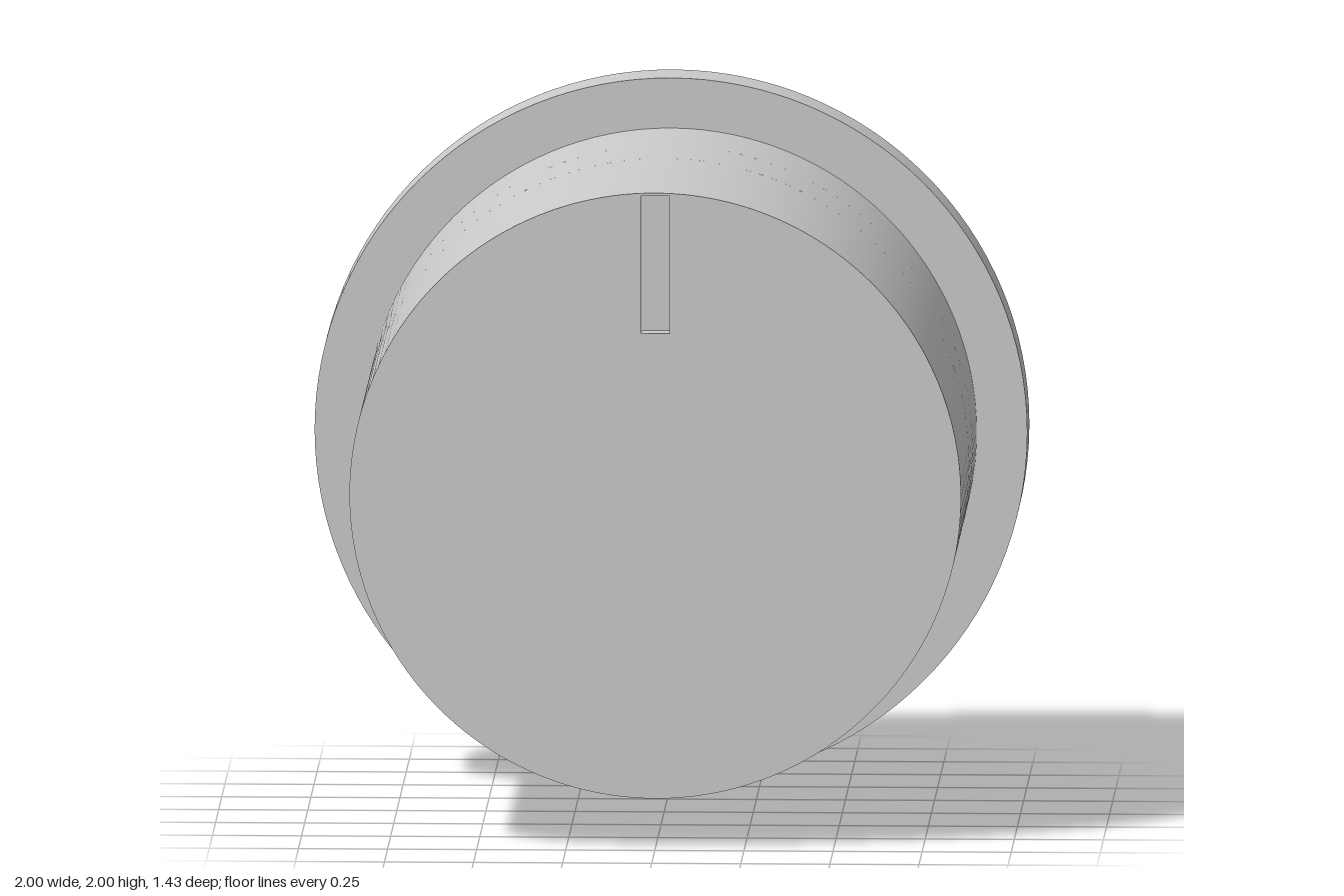
import * as THREE from 'three';
import { ParametricGeometry } from 'three/addons/geometries/ParametricGeometry.js';
import { mergeGeometries } from 'three/addons/utils/BufferGeometryUtils.js';

const SEG = 128;
const FLANGE_R = 1, BODY_R = 0.858, BORE_R = 0.317;
const BACK = -0.715, STEP = -0.55, FRONT = 0.715, BORE_END = 0.4;
const HOLE_R = 0.083, HOLE_Z = -0.09, PATCH = 0.13;
const SLOT = { w: 0.08, y0: 0.46, y1: 0.85, depth: 0.06 };

const lerp = THREE.MathUtils.lerp;

// Part of a cylinder about z; the angle t starts at the bottom
function wall(r, z0, z1, inward = false, t0 = 0, t1 = 2 * Math.PI) {
  return new ParametricGeometry((u, v, p) => {
    const t = inward ? lerp(t1, t0, u) : lerp(t0, t1, u);
    p.set(r * Math.sin(t), -r * Math.cos(t), lerp(z0, z1, v));
  }, SEG, 1);
}

// Curved patch at the bottom of a cylinder, from the round hole out to a square
function holePatch(r, inward) {
  return new ParametricGeometry((u, v, p) => {
    const a = (inward ? 2 : -2) * Math.PI * u;
    const c = Math.cos(a), s = Math.sin(a);
    const k = PATCH / Math.max(Math.abs(c), Math.abs(s));
    const t = lerp(Math.asin(HOLE_R * c / r), k * c / r, v);
    p.set(r * Math.sin(t), -r * Math.cos(t), HOLE_Z + lerp(HOLE_R, k, v) * s);
  }, 64, 6);
}

// Cylinder wall with the screw hole cut out of its underside
function piercedWall(r, z0, z1, inward) {
  const a = PATCH / r;
  return mergeGeometries([
    wall(r, z0, HOLE_Z - PATCH, inward),
    wall(r, HOLE_Z + PATCH, z1, inward),
    wall(r, HOLE_Z - PATCH, HOLE_Z + PATCH, inward, a, 2 * Math.PI - a),
    holePatch(r, inward),
  ]);
}

export function createModel() {
  const model = new THREE.Group();
  const knob = new THREE.Group();
  knob.name = 'knob';
  knob.position.y = 1;
  model.add(knob);

  const material = new THREE.MeshStandardMaterial({ color: 0xcccccc });
  const add = (name, geometry, parent = knob) => {
    const mesh = new THREE.Mesh(geometry, material);
    mesh.name = name;
    parent.add(mesh);
    return mesh;
  };

  // Flange
  add('flangeRim', wall(FLANGE_R, BACK, STEP));
  add('flangeFront', new THREE.RingGeometry(BODY_R, FLANGE_R, SEG)).position.z = STEP;
  const back = add('flangeBack', new THREE.RingGeometry(BORE_R, FLANGE_R, SEG));
  back.position.z = BACK;
  back.rotation.y = Math.PI;

  // Body and blind shaft bore
  add('bodyWall', piercedWall(BODY_R, STEP, FRONT, false));
  add('boreWall', piercedWall(BORE_R, BACK, BORE_END, true));
  const boreEnd = add('boreEnd', new THREE.CircleGeometry(BORE_R, SEG));
  boreEnd.position.z = BORE_END;
  boreEnd.rotation.y = Math.PI;

  // Radial screw hole from the underside into the bore
  add('screwHole', new ParametricGeometry((u, v, p) => {
    const a = -2 * Math.PI * u, x = HOLE_R * Math.cos(a);
    const y = lerp(Math.sqrt(BORE_R ** 2 - x * x), Math.sqrt(BODY_R ** 2 - x * x), v);
    p.set(x, -y, HOLE_Z + HOLE_R * Math.sin(a));
  }, 64, 1));

  // Front face with the pointer slot cut out
  const { w, y0, y1, depth } = SLOT;
  const face = new THREE.Shape().absarc(0, 0, BODY_R, 0, 2 * Math.PI);
  face.holes.push(new THREE.Path([[-1, y0], [-1, y1], [1, y1], [1, y0]]
    .map(([s, y]) => new THREE.Vector2(s * w / 2, y))));
  add('frontFace', new THREE.ShapeGeometry(face, SEG)).position.z = FRONT;

  // Slot floor and walls, all facing inwards
  const slot = new THREE.Group();
  slot.name = 'pointerSlot';
  slot.position.set(0, (y0 + y1) / 2, FRONT - depth);
  knob.add(slot);
  const h = y1 - y0;
  add('slotFloor', new THREE.PlaneGeometry(w, h), slot);
  for (const s of [-1, 1]) {
    const side = add('slotSide', new THREE.PlaneGeometry(depth, h), slot);
    side.position.set(s * w / 2, 0, depth / 2);
    side.rotation.y = -s * Math.PI / 2;
    const end = add('slotEnd', new THREE.PlaneGeometry(w, depth), slot);
    end.position.set(0, s * h / 2, depth / 2);
    end.rotation.x = s * Math.PI / 2;
  }

  return model;
}
